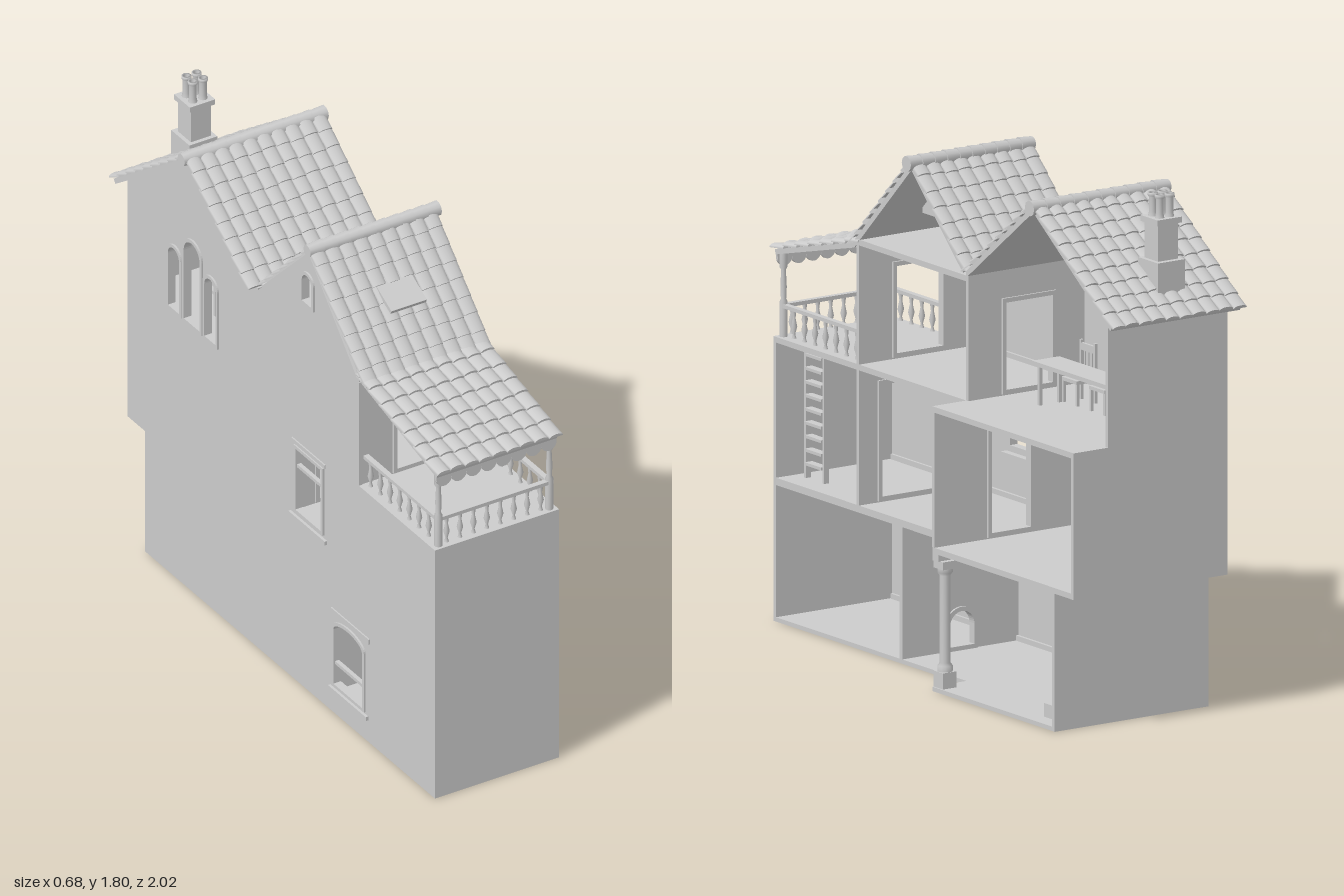
import * as THREE from 'three';
import { mergeGeometries } from 'three/addons/utils/BufferGeometryUtils.js';

const mat = new THREE.MeshStandardMaterial({ color: 0xcccccc, side: THREE.DoubleSide });

export function createModel() {
  const house = new THREE.Group();
  house.name = 'openHouse';

  const mesh = (name, geo, parent = house) => {
    const m = new THREE.Mesh(geo, mat);
    m.name = name;
    parent.add(m);
    return m;
  };
  // box given by its limits
  const boxGeo = (x0, x1, y0, y1, z0, z1) =>
    new THREE.BoxGeometry(x1 - x0, y1 - y0, Math.abs(z1 - z0)).translate((x0 + x1) / 2, (y0 + y1) / 2, (z0 + z1) / 2);
  const box = (name, ...b) => mesh(name, boxGeo(...b));
  const boxes = (name, list) => mesh(name, mergeGeometries(list.map(b => boxGeo(...b))));

  // opening outline: rect with optional arched top of height rise
  const opening = (a, b, y0, y1, rise = 0, P = THREE.Path) => {
    const p = new P(), m = (a + b) / 2, r = (b - a) / 2;
    p.moveTo(a, y0);
    p.lineTo(b, y0);
    p.lineTo(b, y1 - rise);
    if (rise) p.absellipse(m, y1 - rise, r, rise, 0, Math.PI, false);
    else p.lineTo(a, y1);
    p.closePath();
    return p;
  };
  const extrude = (shape, depth) =>
    new THREE.ExtrudeGeometry(shape, { depth, bevelEnabled: false, curveSegments: 10 });
  const frameShape = (a, b, y0, y1, rise, w) => {
    const s = opening(a - w, b + w, y0 - w, y1 + w, rise ? rise + w * 0.6 : 0, THREE.Shape);
    s.holes.push(opening(a, b, y0, y1, rise));
    return s;
  };

  // long side wall with all windows
  const windows = [
    [0.36, 0.54, 0.12, 0.37, 0.035], [0.12, 0.28, 0.68, 0.92, 0.0],
    [0.16, 0.22, 1.53, 1.64, 0.03], [-0.455, -0.385, 1.06, 1.3, 0.035],
    [-0.585, -0.485, 1.06, 1.38, 0.05], [-0.685, -0.615, 1.06, 1.3, 0.035],
  ];
  const profile = [[0.99, 0], [0.99, 0.98], [0.51, 0.98], [0.51, 1.385], [0.19, 1.73], [-0.13, 1.41],
    [-0.53, 1.725], [-0.95, 1.42], [-0.95, 0.48], [-0.84, 0.48], [-0.84, 0]];
  const side = new THREE.Shape(profile.map(p => new THREE.Vector2(...p)));
  windows.forEach(w => side.holes.push(opening(...w)));
  mesh('sideWall', extrude(side, 0.015).rotateY(-Math.PI / 2)).position.x = -0.285;
  windows.forEach(w => {
    const g = extrude(frameShape(...w, 0.012), 0.03).rotateY(-Math.PI / 2);
    mesh('windowFrame', g).position.x = -0.277;
  });
  boxes('windowBars', [
    [-0.3, -0.285, 0.195, 0.207, 0.36, 0.54], [-0.3, -0.285, 0.845, 0.857, 0.12, 0.28],
    [-0.31, -0.27, 0.085, 0.1, 0.33, 0.57], [-0.31, -0.26, 0.64, 0.655, 0.08, 0.31],
    [-0.305, -0.27, 0.39, 0.41, 0.34, 0.58], [-0.305, -0.275, 0.935, 0.95, 0.09, 0.3],
  ]);

  // floors and ceilings
  boxes('groundFloor', [[-0.3, 0.19, 0, 0.015, -0.13, 0.99], [-0.3, 0.33, 0, 0.015, -0.84, -0.13]]);
  boxes('firstFloor', [
    [-0.3, 0.19, 0.47, 0.495, -0.13, 0.99], [-0.3, 0.33, 0.475, 0.495, -0.69, -0.13],
    [-0.3, -0.2, 0.475, 0.495, -0.84, -0.69], [0.06, 0.33, 0.475, 0.495, -0.84, -0.69],
    [-0.3, 0.33, 0.475, 0.495, -0.95, -0.84],
  ]);
  boxes('upperFloor', [[-0.3, 0.19, 0.96, 0.98, -0.13, 0.99], [-0.3, 0.33, 0.96, 0.98, -0.95, -0.13]]);
  box('atticFloor', -0.3, 0.19, 1.39, 1.41, -0.13, 0.51);

  // end walls and partitions
  box('frontWall', -0.3, 0.19, 0, 0.98, 0.975, 0.99);
  boxes('backWall', [[-0.3, 0.33, 0, 0.48, -0.84, -0.825], [-0.3, 0.33, 0.48, 0.98, -0.95, -0.935],
    [-0.3, 0.19, 0.98, 1.42, -0.95, -0.935]]);
  const partition = (name, x1, y0, y1, z, hole, rise) => {
    const s = opening(-0.3, x1, y0, y1, 0, THREE.Shape);
    s.holes.push(opening(...hole, rise));
    mesh(name, extrude(s, 0.015)).position.z = z - 0.0075;
    mesh(name + 'Frame', extrude(frameShape(...hole, rise, 0.015), 0.03)).position.z = z - 0.015;
  };
  partition('hearthWall', 0.19, 0.015, 0.47, 0.25, [-0.1, 0.0, 0.03, 0.15], 0.05);
  partition('landingWall', 0.19, 0.495, 0.96, 0.5, [-0.2, 0.1, 0.515, 0.9], 0);
  partition('middleWall', 0.33, 0.495, 0.96, -0.135, [-0.06, 0.1, 0.515, 0.87], 0);
  partition('balconyWall', 0.19, 0.98, 1.4, 0.5, [-0.15, 0.04, 1.0, 1.3], 0);
  partition('diningWall', 0.19, 0.98, 1.42, -0.135, [-0.15, 0.04, 1.0, 1.3], 0);

  // skirting and cornice strips
  const strips = [];
  for (const [y, z0, z1] of [[0.015, -0.82, 0.97], [0.455, -0.82, 0.97], [0.495, -0.93, 0.97], [0.935, -0.93, 0.1],
    [0.935, 0.3, 0.97], [0.98, -0.93, 0.49]])
    strips.push([-0.285, -0.275, y, y + 0.018, z0, z1]);
  strips.push([-0.285, 0.33, 0.45, 0.475, -0.165, -0.13]);
  boxes('trim', strips);

  // column under the overhang
  const lathe = pts => new THREE.LatheGeometry(pts.map(p => new THREE.Vector2(...p)), 12);
  const column = mesh('column', mergeGeometries([
    lathe([[0.026, 0.07], [0.026, 0.09], [0.018, 0.1], [0.018, 0.4], [0.026, 0.41], [0.026, 0.425]]).toNonIndexed(),
    boxGeo(-0.028, 0.028, 0.015, 0.07, -0.028, 0.028).toNonIndexed(),
    boxGeo(-0.028, 0.028, 0.425, 0.452, -0.028, 0.028).toNonIndexed()]));
  column.position.set(0.297, 0, -0.157);

  // stairs rising away from the open side
  const st = new THREE.Shape(), n = 10, run = 0.046, rise = 0.047;
  st.moveTo(0.27, 0.015);
  for (let i = 0; i < n; i++) {
    st.lineTo(0.27 - i * run, 0.015 + (i + 1) * rise);
    st.lineTo(0.27 - (i + 1) * run, 0.015 + (i + 1) * rise);
  }
  st.lineTo(0.27 - n * run, 0.4);
  st.lineTo(0.2, 0.015);
  mesh('stairs', extrude(st, 0.13)).position.z = -0.823;

  // ladder
  const ladder = [[0.09, 0.11, 0.495, 0.97, 0.81, 0.82], [0.09, 0.11, 0.495, 0.97, 0.915, 0.925]];
  for (let i = 0; i < 9; i++) ladder.push([0.085, 0.115, 0.54 + i * 0.047, 0.55 + i * 0.047, 0.82, 0.915]);
  boxes('ladder', ladder);

  // balcony posts, rails and balusters
  const baluster = lathe([[0.008, 0], [0.004, 0.015], [0.011, 0.04], [0.005, 0.07], [0.008, 0.095]]);
  const balusters = [];
  for (let i = 0; i < 8; i++) balusters.push(baluster.clone().translate(-0.24 + i * 0.053, 0.985, 0.967));
  for (const x of [-0.272, 0.165])
    for (let i = 0; i < 7; i++) balusters.push(baluster.clone().translate(x, 0.985, 0.54 + i * 0.061));
  mesh('balusters', mergeGeometries(balusters));
  boxes('balconyRails', [[-0.28, 0.175, 1.08, 1.093, 0.957, 0.977],
    [-0.282, -0.262, 1.08, 1.093, 0.51, 0.97], [0.155, 0.175, 1.08, 1.093, 0.51, 0.97]]);
  for (const x of [-0.272, 0.165]) {
    const post = lathe([[0.014, 0.98], [0.014, 1.1], [0.009, 1.11], [0.011, 1.15], [0.008, 1.21], [0.014, 1.22], [0.014, 1.28]]);
    mesh('balconyPost', post).position.set(x, 0, 0.967);
  }
  // scalloped board below the porch eave
  const scallop = new THREE.Shape();
  scallop.moveTo(-0.29, 1.275);
  scallop.lineTo(-0.29, 1.25);
  for (let i = 0; i < 8; i++) scallop.absarc(-0.26 + i * 0.059, 1.25, 0.0295, Math.PI, 2 * Math.PI, false);
  scallop.lineTo(0.185, 1.275);
  mesh('valance', extrude(scallop, 0.01)).position.z = 0.975;

  // roof slope: thin deck covered with rows of half-round tiles
  const slope = (name, x0, x1, [zt, yt], [zb, yb], rows) => {
    const len = Math.hypot(zb - zt, yb - yt), w = x1 - x0, cols = Math.round(w / 0.055);
    const cw = w / cols, rl = len / rows;
    const g = new THREE.Group();
    g.name = name;
    g.rotation.order = 'YXZ';
    g.rotation.y = zb > zt ? 0 : Math.PI;
    g.rotation.x = Math.atan2(yt - yb, Math.abs(zb - zt));
    g.position.set((x0 + x1) / 2, yt, zt);
    mesh('deck', boxGeo(-w / 2 + 0.01, w / 2 - 0.01, -0.022, -0.004, 0, len - 0.01), g);
    const tile = new THREE.CylinderGeometry(cw * 0.54, cw * 0.5, rl * 1.12, 6, 1, false, -Math.PI / 2, Math.PI)
      .rotateX(-Math.PI / 2).scale(1, 0.45, 1).rotateX(-0.12);
    const tiles = [];
    for (let r = 0; r < rows; r++)
      for (let c = 0; c < cols; c++) {
        const jitter = ((c * 7 + r * 3) % 5 - 2) * 0.0015;
        tiles.push(tile.clone().translate(-w / 2 + (c + 0.5) * cw, 0, (r + 0.5) * rl + jitter));
      }
    mesh('tiles', mergeGeometries(tiles), g);
    house.add(g);
  };
  slope('porchRoof', -0.3, 0.195, [0.5, 1.405], [1.0, 1.28], 7);
  slope('middleRoofFront', -0.3, 0.2, [0.19, 1.74], [0.545, 1.385], 8);
  slope('middleRoofBack', -0.3, 0.2, [0.19, 1.74], [-0.13, 1.425], 7);
  slope('rearRoofFront', -0.34, 0.21, [-0.53, 1.735], [-0.13, 1.425], 8);
  slope('rearRoofBack', -0.34, 0.21, [-0.53, 1.735], [-1.0, 1.4], 9);

  // ridge tiles
  for (const [x0, x1, y, z] of [[-0.3, 0.21, 1.735, 0.187], [-0.345, 0.215, 1.725, -0.535]]) {
    const ridge = [], k = 10, w = (x1 - x0) / k;
    for (let i = 0; i < k; i++)
      ridge.push(new THREE.CylinderGeometry(0.023, 0.027, w * 1.1, 10).rotateZ(Math.PI / 2)
        .translate(x0 + (i + 0.5) * w, y, z));
    mesh('ridgeTiles', mergeGeometries(ridge));
  }

  // propped roof hatch
  const hatch = mesh('roofHatch', new THREE.BoxGeometry(0.14, 0.015, 0.2));
  hatch.position.set(-0.05, 1.603, 0.335);
  hatch.rotation.x = 0.46;
  box('hatchCurb', -0.11, 0.01, 1.5, 1.575, 0.3, 0.38);

  // chimney
  boxes('chimney', [[-0.15, -0.04, 1.46, 1.575, -0.915, -0.8], [-0.135, -0.055, 1.575, 1.715, -0.895, -0.815],
    [-0.145, -0.045, 1.7, 1.72, -0.905, -0.805]]);
  for (const x of [-0.115, -0.075])
    for (const z of [-0.875, -0.835])
      mesh('chimneyPot', lathe([[0.016, 1.72], [0.013, 1.735], [0.013, 1.785], [0.017, 1.79], [0.017, 1.8], [0.01, 1.8], [0.01, 1.73]]))
        .position.set(x, 0, z);

  // dining table and chairs
  const table = [[-0.07, 0.04, 1.115, 1.13, -0.77, -0.3]];
  for (const x of [-0.06, 0.02])
    for (const z of [-0.75, -0.33]) table.push([x, x + 0.012, 0.98, 1.115, z, z + 0.012]);
  boxes('table', table);
  const chair = (x, z, turn) => {
    const parts = [[-0.04, 0.04, 1.055, 1.067, -0.045, 0.045], [-0.045, -0.035, 1.15, 1.175, -0.045, 0.045],
      [-0.043, -0.037, 1.09, 1.1, -0.04, 0.04]];
    for (const s of [-0.04, 0.04])
      parts.push([0.028, 0.038, 0.98, 1.055, s - 0.005, s + 0.005], [-0.045, -0.035, 0.98, 1.185, s - 0.005, s + 0.005]);
    for (const s of [-0.02, 0, 0.02]) parts.push([-0.042, -0.038, 1.1, 1.15, s - 0.004, s + 0.004]);
    const c = boxes('chair', parts);
    c.position.set(x, 0, z);
    c.rotation.y = turn;
  };
  for (const z of [-0.37, -0.53, -0.69]) chair(-0.1, z, 0);
  chair(-0.015, -0.82, -Math.PI / 2);

  return house;
}
